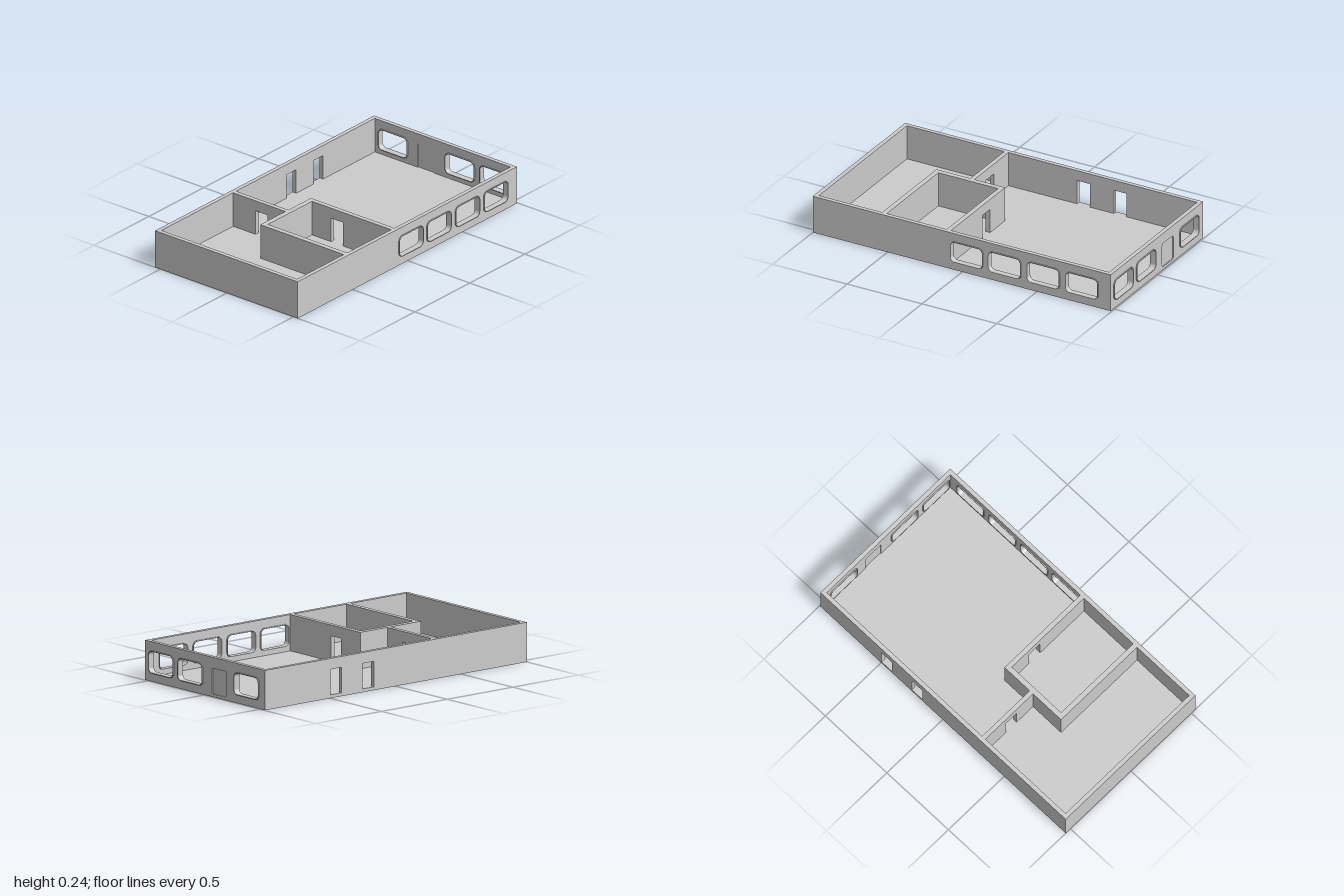
import * as THREE from 'three';

const H = 0.236, FLOOR = 0.02;
const X0 = -1, X1 = 0.993, Z0 = -0.539, Z1 = 0.533; // outer wall faces
const T = 0.026; // outer wall thickness
const material = new THREE.MeshStandardMaterial({ color: 0xcccccc });

// Rectangle from (a, y0) to (b, y1) with corner radius r
function rect(a, b, y0, y1, r = 0, Type = THREE.Path) {
  const p = new Type();
  if (r === 0) {
    p.moveTo(a, y0).lineTo(b, y0).lineTo(b, y1).lineTo(a, y1).closePath();
    return p;
  }
  p.moveTo(a + r, y0);
  p.absarc(b - r, y0 + r, r, -Math.PI / 2, 0);
  p.absarc(b - r, y1 - r, r, 0, Math.PI / 2);
  p.absarc(a + r, y1 - r, r, Math.PI / 2, Math.PI);
  p.absarc(a + r, y0 + r, r, Math.PI, Math.PI * 1.5);
  p.closePath();
  return p;
}

// Upright slab: axis 'z' spans x and fills lo..hi in z; axis 'x' spans z and fills lo..hi in x
function slab(name, axis, lo, hi, outline, holes = []) {
  outline.holes.push(...holes);
  const geo = new THREE.ExtrudeGeometry(outline, { depth: hi - lo, bevelEnabled: false, curveSegments: 6 });
  if (axis === 'x') geo.rotateY(-Math.PI / 2).translate(hi, 0, 0);
  else geo.translate(0, 0, lo);
  const mesh = new THREE.Mesh(geo, material);
  mesh.name = name;
  return mesh;
}

const shape = (a, b, y0, y1, r) => rect(a, b, y0, y1, r, THREE.Shape);
const wall = (name, axis, lo, hi, a, b, holes) => slab(name, axis, lo, hi, shape(a, b, 0, H), holes);
const doorway = (a, b) => rect(a, b, FLOOR, 0.171);

// Window opening and its thin rounded frame, centred on c along the wall
const WIN = { half: 0.111, y0: 0.048, y1: 0.184, r: 0.032, lip: 0.005 };
const windowHole = (c) => rect(c - WIN.half + 0.002, c + WIN.half - 0.002, WIN.y0 + 0.002, WIN.y1 - 0.002, WIN.r - 0.002);
function windowFrame(axis, lo, hi, c) {
  const { half, y0, y1, r, lip } = WIN;
  return slab('windowFrame', axis, lo, hi, shape(c - half, c + half, y0, y1, r),
    [rect(c - half + lip, c + half - lip, y0 + lip, y1 - lip, r - lip)]);
}

export function createModel() {
  const group = new THREE.Group();
  group.name = 'floorPlan';

  // Floor slab
  const floor = new THREE.Mesh(new THREE.BoxGeometry(X1 - X0 - 0.01, FLOOR, Z1 - Z0 - 0.01), material);
  floor.position.set((X0 + X1) / 2, FLOOR / 2, (Z0 + Z1) / 2);
  floor.name = 'floor';
  group.add(floor);

  // Outer walls
  const frontWindows = [0.029, 0.283, 0.542, 0.8];
  const sideWindows = [0.388, 0.127, -0.375];
  const sideDoor = [-0.193, -0.064, 0.018, 0.171, 0.012];
  group.add(
    wall('frontWall', 'z', Z1 - T, Z1, X0, X1, frontWindows.map(windowHole)),
    wall('backWall', 'z', Z0, Z0 + T, X0, X1, [doorway(0.165, 0.251), doorway(0.41, 0.496)]),
    wall('rightWall', 'x', X0, X0 + T, Z0 + T, Z1 - T),
    wall('leftWall', 'x', X1 - T, X1, Z0 + T, Z1 - T, [...sideWindows.map(windowHole), rect(...sideDoor)]),
  );

  // Closed door set into the left wall
  group.add(slab('sideDoor', 'x', X1 - T + 0.006, X1 - 0.006, shape(...sideDoor)));

  // Window frames standing proud on both faces of the wall
  for (const c of frontWindows) group.add(windowFrame('z', Z1 - T - 0.006, Z1 + 0.006, c));
  for (const c of sideWindows) group.add(windowFrame('x', X1 - T - 0.007, X1 + 0.007, c));

  // Partition between the two large areas
  group.add(wall('partitionWall', 'x', -0.322, -0.295, Z0 + T, -0.12, [doorway(-0.345, -0.255)]));

  // Small inner room
  group.add(
    wall('innerRoomBackWall', 'z', -0.12, -0.088, -0.55, -0.09),
    wall('innerRoomRightWall', 'x', -0.55, -0.519, -0.088, Z1 - T),
    wall('innerRoomLeftWall', 'x', -0.119, -0.09, -0.088, Z1 - T, [doorway(0.055, 0.145)]),
  );
  return group;
}
